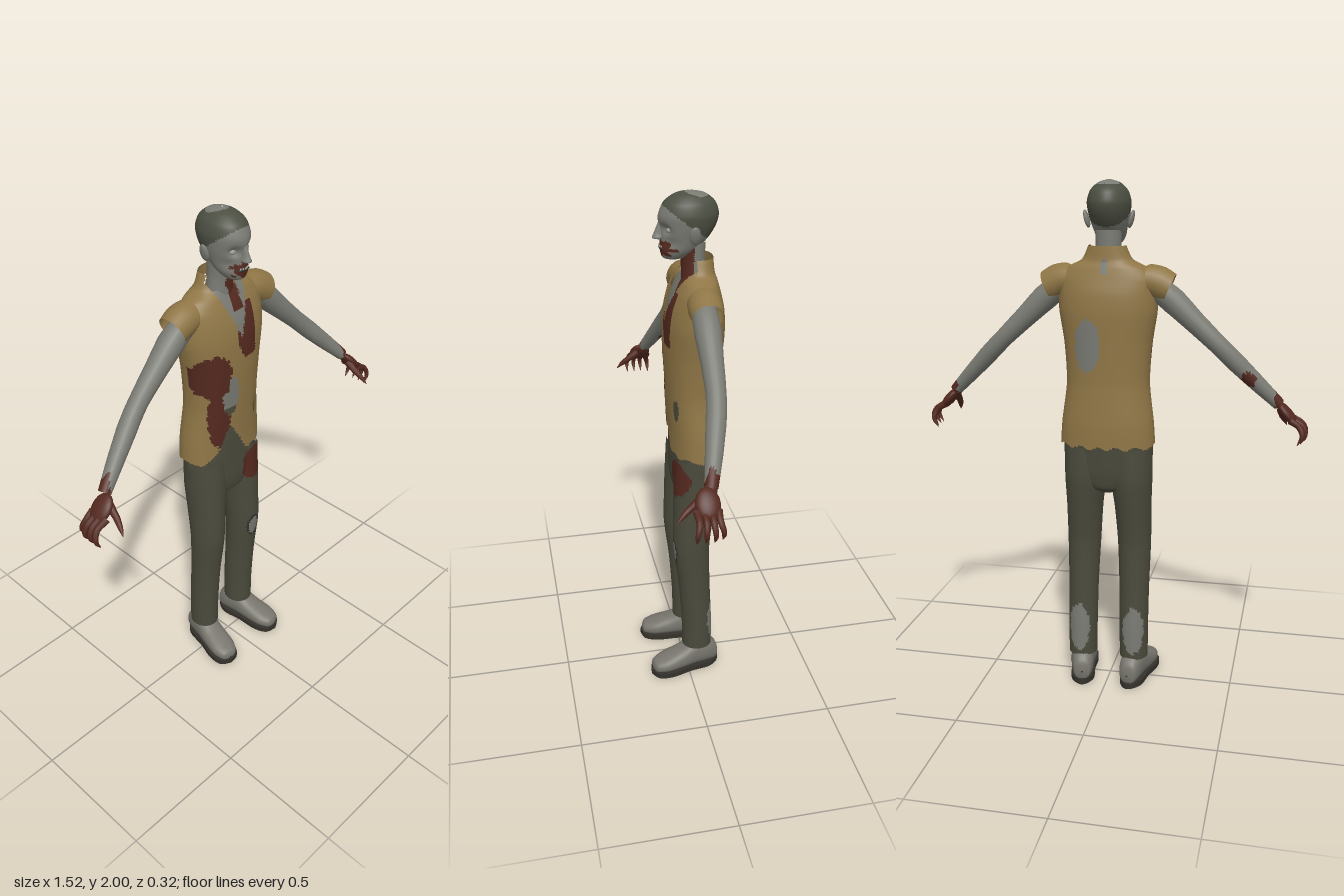
import * as THREE from 'three';

const mat = (name, color, side = THREE.FrontSide) => {
  const m = new THREE.MeshStandardMaterial({ color, side });
  m.name = name;
  return m;
};
const skin = mat('greySkin', 0x7a7b73);
const shirt = mat('tanShirt', 0x8f7646, THREE.DoubleSide);
const trouser = mat('oliveTrousers', 0x4a4a3c);
const blood = mat('driedBlood', 0x54291f, THREE.DoubleSide);
const hair = mat('darkHair', 0x4c4f42);
const shoe = mat('greyShoe', 0x77756d);
const sole = mat('darkSole', 0x35322c);
const bone = mat('paleBone', 0x96968a);

// Ragged ellipse test used for stains and tears
const inEllipse = (x, y, cx, cy, rx, ry, ragged = 0.12) =>
  ((x - cx) / rx) ** 2 + ((y - cy) / ry) ** 2 + ragged * Math.sin(x * 170 + Math.sin(y * 130) * 2) < 1;

// Sorts triangles into one group per material; a null material tears a hole
function paintedMesh(name, geo, pick) {
  const p = geo.attributes.position, idx = geo.index.array, buckets = new Map();
  const mid = (k, get) => (get(idx[k]) + get(idx[k + 1]) + get(idx[k + 2])) / 3;
  for (let k = 0; k < idx.length; k += 3) {
    const m = pick(mid(k, i => p.getX(i)), mid(k, i => p.getY(i)), mid(k, i => p.getZ(i)));
    if (!m) continue;
    if (!buckets.has(m)) buckets.set(m, []);
    buckets.get(m).push(idx[k], idx[k + 1], idx[k + 2]);
  }
  const all = [], mats = [];
  geo.clearGroups();
  for (const [m, list] of buckets) {
    geo.addGroup(all.length, list.length, mats.length);
    mats.push(m);
    for (const i of list) all.push(i);
  }
  geo.setIndex(all);
  const mesh = new THREE.Mesh(geo, mats);
  mesh.name = name;
  return mesh;
}

// Smooth stack of rings; each section is [y, centreX, centreZ, radiusX, radiusZ], listed upward
function loft(sections, rows = 40, sides = 40, square = 1) {
  const centre = new THREE.CatmullRomCurve3(sections.map(s => new THREE.Vector3(s[1], s[0], s[2])), false, 'catmullrom', 0.4);
  const radius = new THREE.CatmullRomCurve3(sections.map(s => new THREE.Vector3(s[3], 0, s[4])), false, 'catmullrom', 0.4);
  const pos = [], idx = [], pw = v => Math.sign(v) * Math.abs(v) ** square;
  for (let i = 0; i <= rows; i++) {
    const c = centre.getPoint(i / rows), r = radius.getPoint(i / rows);
    for (let j = 0; j < sides; j++) {
      const a = j / sides * Math.PI * 2;
      pos.push(c.x + r.x * pw(Math.sin(a)), c.y, c.z + r.z * pw(Math.cos(a)));
      if (i === rows) continue;
      const k = i * sides + j, n = i * sides + (j + 1) % sides;
      idx.push(k, n, k + sides, n, n + sides, k + sides);
    }
  }
  const geo = new THREE.BufferGeometry();
  geo.setAttribute('position', new THREE.Float32BufferAttribute(pos, 3));
  geo.setIndex(idx);
  geo.computeVertexNormals();
  return geo;
}

// Tube whose radius follows a list of values
function taperTube(points, radii, segs = 24, sides = 16) {
  const curve = new THREE.CatmullRomCurve3(points.map(p => new THREE.Vector3(...p)));
  const geo = new THREE.TubeGeometry(curve, segs, 1, sides, false), p = geo.attributes.position;
  const v = new THREE.Vector3();
  for (let i = 0; i <= segs; i++) {
    const c = curve.getPointAt(i / segs), f = i / segs * (radii.length - 1), k = Math.min(Math.floor(f), radii.length - 2);
    const r = THREE.MathUtils.lerp(radii[k], radii[k + 1], f - k);
    for (let j = 0; j <= sides; j++) {
      const n = i * (sides + 1) + j;
      v.fromBufferAttribute(p, n).sub(c).multiplyScalar(r).add(c);
      p.setXYZ(n, v.x, v.y, v.z);
    }
  }
  return geo;
}

function ball(name, m, [x, y, z], [sx, sy, sz], rotZ = 0) {
  const mesh = new THREE.Mesh(new THREE.SphereGeometry(1, 20, 14), m);
  mesh.name = name;
  mesh.position.set(x, y, z);
  mesh.scale.set(sx, sy, sz);
  mesh.rotation.z = rotZ;
  return mesh;
}

const shirtSections = [
  [1.0, 0, -0.05, 0.185, 0.106], [1.1, 0, -0.05, 0.178, 0.106], [1.25, 0, -0.042, 0.16, 0.106],
  [1.4, 0, -0.04, 0.168, 0.11], [1.52, 0, -0.042, 0.186, 0.11], [1.59, 0, -0.045, 0.187, 0.102],
  [1.645, 0, -0.048, 0.185, 0.086], [1.685, 0, -0.052, 0.15, 0.072], [1.715, 0, -0.056, 0.095, 0.06],
  [1.765, 0, -0.06, 0.07, 0.052]];

function paintShirt(x, y, z) {
  const front = z > -0.04;
  const hem = 1.012 + 0.006 * Math.sin(x * 90) + (front ? 0.145 * Math.exp(-(((x + 0.04) / 0.055) ** 2)) : 0);
  if (y < hem) return null;
  if (!front) return inEllipse(x, y, 0.06, 1.4, 0.05, 0.1) || inEllipse(x, y, 0, 1.69, 0.014, 0.03) ? null : shirt;
  if (y > 1.53 && Math.abs(x - 0.004) < (y - 1.53) * 0.4) return null;
  if (inEllipse(x, y, -0.045, 1.3, 0.036, 0.085) || inEllipse(x, y, 0.1, 1.2, 0.016, 0.04)) return null;
  if (inEllipse(x, y, -0.115, 1.4, 0.068, 0.09) || inEllipse(x, y, -0.09, 1.22, 0.045, 0.14)) return blood;
  return x > -0.01 && x < 0.08 && y > 1.445 && y < 1.65 && x > (1.5 - y) * 0.5 - 0.01 ? blood : shirt;
}

function paintTrousers(x, y, z) {
  if (z > -0.03 && inEllipse(x, y, 0.1, 0.915, 0.066, 0.076, 0.04)) return blood;
  if (z > -0.03 && inEllipse(x, y, 0.1, 0.58, 0.024, 0.045)) return skin;
  if (z > -0.03 && inEllipse(x, y, 0.1, 0.58, 0.032, 0.057)) return sole;
  if (z < -0.06 && inEllipse(Math.abs(x), y, 0.11, 0.24, 0.042, 0.1)) return skin;
  return trouser;
}

function makeHead() {
  const head = new THREE.Group();
  head.name = 'head';
  const skull = loft([
    [1.758, 0, 0.035, 0.004, 0.004], [1.766, 0, 0.03, 0.034, 0.04], [1.795, 0, 0.012, 0.055, 0.068],
    [1.84, 0, -0.01, 0.068, 0.089], [1.88, 0, -0.021, 0.077, 0.102], [1.92, 0, -0.025, 0.081, 0.107],
    [1.96, 0, -0.026, 0.069, 0.092], [1.988, 0, -0.027, 0.04, 0.055], [2.0, 0, -0.027, 0.003, 0.003]], 56, 56);
  // Press in the eye sockets and the cheeks
  const p = skull.attributes.position;
  for (let i = 0; i < p.count; i++) {
    const x = Math.abs(p.getX(i)), y = p.getY(i), z = p.getZ(i);
    if (z < 0) continue;
    const dent = (cx, cy, r, d) => d * Math.exp(-((x - cx) ** 2 + (y - cy) ** 2) / (r * r));
    p.setZ(i, z - dent(0.032, 1.872, 0.018, 0.018) - dent(0.048, 1.825, 0.02, 0.01) + dent(0, 1.9, 0.03, 0.004));
  }
  skull.computeVertexNormals();
  head.add(paintedMesh('skull', skull, (x, y, z) => {
    if (y > 1.9 + 0.75 * z) return y > 1.95 && inEllipse(x, z, 0, -0.05, 0.042, 0.042, 0.05) ? skin : hair;
    return z > 0.02 && inEllipse(x, y, 0.004, 1.803, 0.046, 0.03, 0.3) ? blood : skin;
  }));
  const nose = loft([[1.832, 0, 0.085, 0.004, 0.004], [1.838, 0, 0.086, 0.017, 0.022],
    [1.855, 0, 0.08, 0.012, 0.022], [1.895, 0, 0.073, 0.007, 0.012]], 14, 16);
  head.add(paintedMesh('nose', nose, () => skin));
  for (const s of [-1, 1]) {
    head.add(ball('ear', skin, [s * 0.084, 1.858, -0.03], [0.01, 0.034, 0.02], -s * 0.25));
    head.add(ball('eye', bone, [s * 0.032, 1.87, 0.052], [0.013, 0.01, 0.011]));
  }
  head.add(ball('mouth', sole, [0, 1.803, 0.076], [0.026, 0.008, 0.008]));
  for (let i = -2; i <= 2; i++) head.add(ball('tooth', bone, [i * 0.009, 1.808, 0.084 - Math.abs(i) * 0.003], [0.004, 0.005, 0.003]));
  const neck = loft([[1.6, 0, -0.035, 0.06, 0.055], [1.68, 0, -0.042, 0.054, 0.046],
    [1.75, 0, -0.04, 0.048, 0.044], [1.82, 0, -0.035, 0.05, 0.05]], 30, 40);
  head.add(paintedMesh('neck', neck, (x, y, z) => z > -0.035 && x > -0.008 + 0.008 * Math.sin(y * 90) ? blood : skin));
  return head;
}

function makeArm(s) {
  const arm = new THREE.Group();
  arm.name = s > 0 ? 'leftArm' : 'rightArm';
  const at = pts => pts.map(([x, y, z]) => [s * x, y, z]);
  const limb = taperTube(at([[0.15, 1.625, -0.045], [0.22, 1.585, -0.042], [0.33, 1.485, -0.038],
    [0.43, 1.39, -0.03], [0.54, 1.28, 0], [0.645, 1.175, 0.035]]), [0.045, 0.049, 0.041, 0.036, 0.036, 0.031, 0.024], 48, 20);
  arm.add(paintedMesh('limb', limb, (x, y, z) => Math.abs(x) > 0.625 + 0.01 * Math.sin(z * 150) ||
    (s < 0 && z < -0.005 && inEllipse(x, y, -0.53, 1.275, 0.03, 0.03)) ? blood : skin));
  const sleeve = taperTube(at([[0.11, 1.64, -0.048], [0.175, 1.635, -0.046], [0.232, 1.61, -0.044]]), [0.03, 0.06, 0.063, 0.058], 14, 24);
  arm.add(paintedMesh('sleeve', sleeve, () => shirt));
  // Clawed hand
  arm.add(ball('palm', blood, [s * 0.678, 1.135, 0.053], [0.058, 0.02, 0.043], -s * 0.85));
  for (let i = 0; i < 4; i++) {
    const z = 0.02 + i * 0.024, out = i === 0 ? -0.012 : 0, zt = z + (i - 1.5) * 0.006;
    const finger = taperTube(at([[0.69, 1.115, z], [0.735 + out, 1.092, z], [0.75 + out, 1.058, zt], [0.732 + out, 1.02, zt]]),
      [0.014, 0.012, 0.011, 0.01, 0.007, 0.001], 14, 10);
    arm.add(paintedMesh('finger', finger, () => blood));
  }
  const thumb = taperTube(at([[0.655, 1.145, 0.065], [0.658, 1.115, 0.105], [0.667, 1.09, 0.135], [0.675, 1.065, 0.157]]),
    [0.018, 0.014, 0.012, 0.009, 0.001], 14, 10);
  arm.add(paintedMesh('thumb', thumb, () => blood));
  return arm;
}

function makeLeg(s) {
  const leg = new THREE.Group();
  leg.name = s > 0 ? 'leftLeg' : 'rightLeg';
  const cloth = loft([[0.115, s * 0.106, -0.042, 0.057, 0.061], [0.25, s * 0.105, -0.04, 0.058, 0.062],
    [0.42, s * 0.104, -0.03, 0.06, 0.064], [0.6, s * 0.102, -0.018, 0.066, 0.073],
    [0.75, s * 0.097, -0.028, 0.072, 0.082], [0.87, s * 0.091, -0.037, 0.082, 0.088], [1.0, s * 0.085, -0.04, 0.088, 0.085]], 100, 48);
  leg.add(paintedMesh('trouserLeg', cloth, paintTrousers));
  // Shoe turned slightly outward; rings run from heel to toe
  const foot = new THREE.Group();
  foot.name = 'shoe';
  const upper = loft([[-0.132, 0, -0.055, 0.004, 0.004], [-0.124, 0, -0.058, 0.032, 0.04], [-0.09, 0, -0.072, 0.044, 0.058],
    [-0.03, 0, -0.074, 0.048, 0.06], [0.03, 0, -0.058, 0.052, 0.045], [0.1, 0, -0.045, 0.053, 0.033],
    [0.145, 0, -0.038, 0.035, 0.022], [0.156, 0, -0.035, 0.004, 0.004]], 36, 28, 0.85);
  upper.rotateX(Math.PI / 2);
  foot.add(paintedMesh('upper', upper, () => shoe));
  const outline = new THREE.Shape(new THREE.SplineCurve([[0, -0.162], [0.045, -0.14], [0.058, -0.08], [0.048, 0.0],
    [0.044, 0.09], [0, 0.138], [-0.044, 0.09], [-0.048, 0.0], [-0.058, -0.08], [-0.045, -0.14], [0, -0.162]]
    .map(q => new THREE.Vector2(...q))).getPoints(50));
  const base = new THREE.Mesh(new THREE.ExtrudeGeometry(outline, { depth: 0.022, bevelEnabled: false }).rotateX(-Math.PI / 2), sole);
  base.name = 'sole';
  foot.add(base);
  foot.position.x = s * 0.115;
  foot.rotation.y = s * 0.17;
  leg.add(foot);
  return leg;
}

export function createModel() {
  const model = new THREE.Group();
  model.name = 'raggedFigure';
  model.add(makeHead());
  // Skin torso seen through the tears
  const torso = loft(shirtSections.slice(2, 9).map(([y, x, z, a, b]) => [y - 0.01, x, z, a - 0.013, b - 0.013]), 50, 48, 0.9);
  model.add(paintedMesh('torso', torso, (x, y, z) =>
    z > -0.02 && (inEllipse(x, y, -0.07, 1.36, 0.03, 0.05, 0.3) || (y > 1.62 && x > 0.005 && x < 0.05)) ? blood : skin));
  model.add(paintedMesh('shirt', loft(shirtSections, 130, 110, 0.9), paintShirt));
  // Hips and waistband
  const hips = loft([[0.815, 0, -0.035, 0.03, 0.045], [0.84, 0, -0.036, 0.1, 0.075], [0.9, 0, -0.038, 0.166, 0.086],
    [1.0, 0, -0.042, 0.174, 0.09], [1.1, 0, -0.047, 0.166, 0.094], [1.25, 0, -0.045, 0.148, 0.09]], 60, 64, 0.9);
  model.add(paintedMesh('hips', hips, paintTrousers));
  for (const s of [-1, 1]) model.add(makeArm(s), makeLeg(s));
  return model;
}
